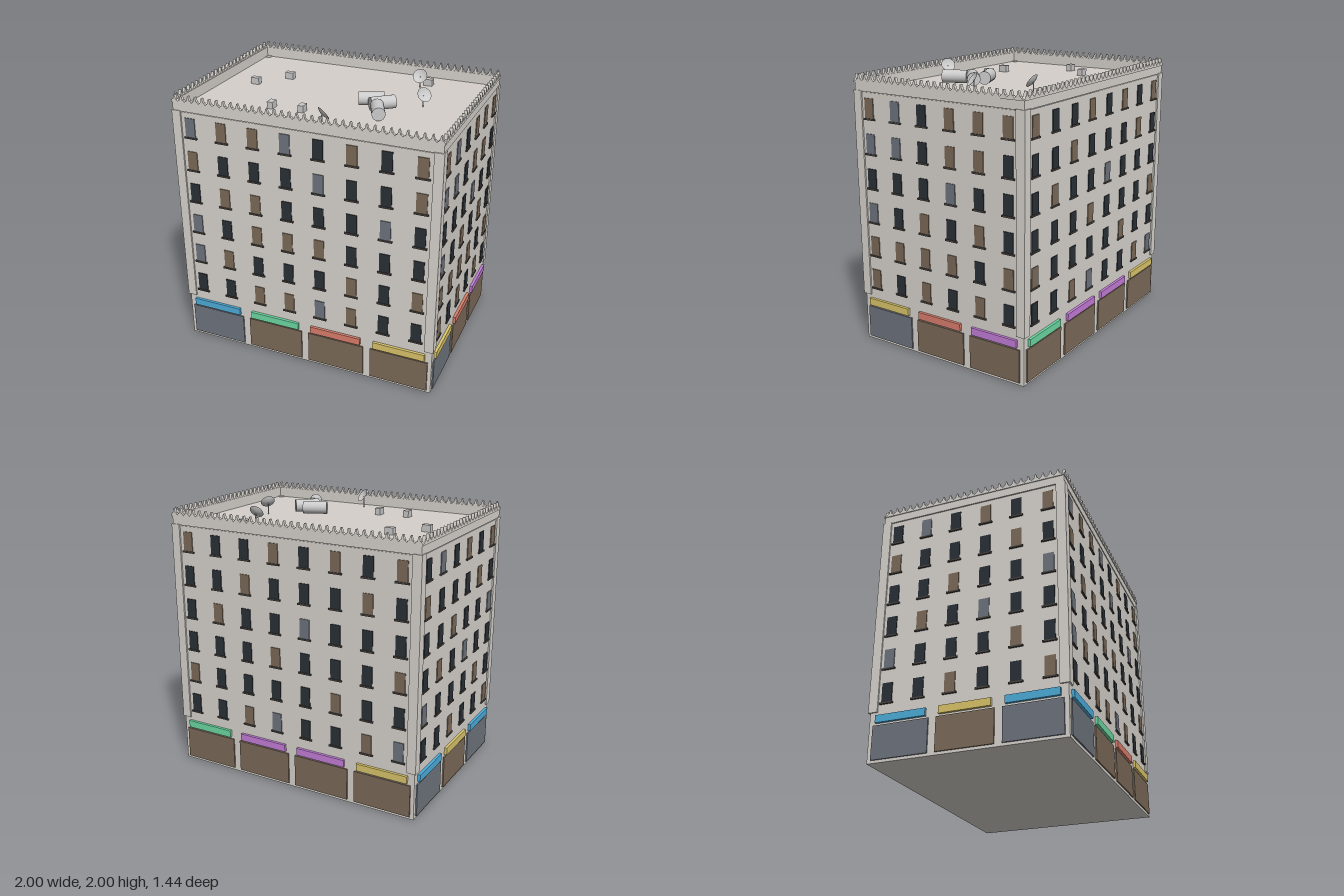
import * as THREE from 'three';

const mat = (color, extra = {}) => new THREE.MeshStandardMaterial({ color, ...extra });
const grey = mat(0xcccccc);
const wall = mat(0xdcd8d2), roofMat = mat(0xd5cfca), sillMat = mat(0x4a4541);
const panes = { D: mat(0x2b3138), B: mat(0x7d6c5a), G: mat(0x70757f) };
const signs = {
  blue: mat(0x4fb0df), green: mat(0x6edda6), red: mat(0xde806e), yellow: mat(0xdec86c), purple: mat(0xc77fdc),
};

const HX = 0.98, HZ = 0.70, ROOF = 1.865;

// Each side reads left to right as seen from outside, window rows from top to bottom
const SIDES = [
  { name: 'front', turn: 0, half: HX, depth: HZ, pitch: 0.2445, shopPitch: 0.49, shopW: 0.435, signW: 0.39,
    rows: ['GBBGDBDB', 'BDDDGDDB', 'DBBDDDGD', 'GDBBBDDD', 'GBDDDBDB', 'DDBBGBDD'],
    shops: 'GBBB', signs: ['blue', 'green', 'red', 'yellow'] },
  { name: 'right', turn: Math.PI / 2, half: HZ, depth: HX, pitch: 0.2328, shopPitch: 0.465, shopW: 0.41, signW: 0.37,
    rows: ['BGDBBB', 'GGDBBD', 'DDDGDD', 'GDBDBD', 'BBBBDB', 'BDBDBD'],
    shops: 'GBB', signs: ['yellow', 'red', 'purple'] },
  { name: 'back', turn: Math.PI, half: HX, depth: HZ, pitch: 0.2445, shopPitch: 0.49, shopW: 0.435, signW: 0.39,
    rows: ['BDDBDBDB', 'DDBDDDBD', 'DBDDGDDD', 'DDDBDDDB', 'BDDDDBDD', 'DDBGDDBG'],
    shops: 'BBBB', signs: ['green', 'purple', 'purple', 'yellow'] },
  { name: 'left', turn: -Math.PI / 2, half: HZ, depth: HX, pitch: 0.2328, shopPitch: 0.465, shopW: 0.41, signW: 0.37,
    rows: ['DGDBDB', 'BDDDBD', 'DDBDDG', 'DBDGDD', 'GDDDBD', 'DDBDDB'],
    shops: 'GBG', signs: ['blue', 'yellow', 'blue'] },
];

function add(parent, name, geometry, material, x = 0, y = 0, z = 0) {
  const mesh = new THREE.Mesh(geometry, material);
  mesh.name = name;
  mesh.position.set(x, y, z);
  parent.add(mesh);
  return mesh;
}
const box = (w, h, d) => new THREE.BoxGeometry(w, h, d);

// Strip of pointed teeth running along the top of a parapet
function toothStrip(length, thickness) {
  const n = Math.round(length / 0.055), p = length / n;
  const shape = new THREE.Shape();
  shape.moveTo(-length / 2, -0.012);
  for (let i = 0; i < n; i++) {
    const x = -length / 2 + i * p;
    [[0, 0], [0.2, 0.014], [0.3, 0.014], [0.44, 0.047], [0.56, 0.047], [0.7, 0.014], [0.8, 0.014]]
      .forEach(([u, y]) => shape.lineTo(x + u * p, y));
  }
  shape.lineTo(length / 2, 0);
  shape.lineTo(length / 2, -0.012);
  return new THREE.ExtrudeGeometry(shape, { depth: thickness, bevelEnabled: false });
}

function buildSide(s) {
  const side = new THREE.Group();
  side.name = s.name + 'Side';
  side.rotation.y = s.turn;
  const d = s.depth;

  // Windows with sills
  s.rows.forEach((row, r) => [...row].forEach((kind, c) => {
    const x = (c - (row.length - 1) / 2) * s.pitch;
    const y = 1.75 - r * 0.252;
    add(side, 'window', box(0.077, 0.142, 0.012), panes[kind], x, y, d);
    add(side, 'windowSill', box(0.1, 0.012, 0.024), sillMat, x, y - 0.077, d);
  }));

  // Shop fronts with sign boards
  [...s.shops].forEach((kind, i) => {
    const x = (i - (s.shops.length - 1) / 2) * s.shopPitch;
    add(side, 'shopFront', box(s.shopW, 0.24, 0.02), panes[kind], x, 0.14, d);
    add(side, 'shopSign', box(s.signW, 0.054, 0.03), signs[s.signs[i]], x, 0.302, d + 0.005);
  });

  // Parapet wall and toothed crest; the short sides fit between the long ones
  const long = s.half === HX;
  const t = 0.02;
  add(side, 'parapet', box(2 * (s.half + (long ? 0.004 : -0.016)), 0.075, t), wall, 0, ROOF + 0.0375, d + 0.004 - t / 2);
  add(side, 'parapetCrest', toothStrip(2 * (s.half + (long ? 0.01 : -0.012)), 0.022), wall, 0, 1.937, d - 0.012);
  return side;
}

function buildDish(x, z, nx, nz) {
  const dish = new THREE.Group();
  dish.name = 'satelliteDish';
  dish.position.set(x, ROOF, z);
  add(dish, 'mast', new THREE.CylinderGeometry(0.004, 0.004, 0.085, 8), grey, 0, 0.0425, 0);
  const profile = [];
  for (let i = 0; i <= 6; i++) {
    const r = 0.054 * i / 6;
    profile.push(new THREE.Vector2(r, 5.5 * r * r));
  }
  const bowl = add(dish, 'bowl', new THREE.LatheGeometry(profile, 24),
    mat(0xcccccc, { side: THREE.DoubleSide }), 0, 0.085, 0);
  bowl.quaternion.setFromUnitVectors(new THREE.Vector3(0, 1, 0), new THREE.Vector3(nx, 0.7, nz).normalize());
  return dish;
}

export function createModel() {
  const model = new THREE.Group();
  model.name = 'apartmentBlock';

  // Main block and roof deck
  add(model, 'walls', box(2 * HX, ROOF - 0.005, 2 * HZ), wall, 0, (ROOF - 0.005) / 2, 0);
  add(model, 'roofDeck', box(2 * HX - 0.01, 0.01, 2 * HZ - 0.01), roofMat, 0, ROOF - 0.005, 0);

  // Corner pilasters
  for (const sx of [-1, 1]) for (const sz of [-1, 1]) {
    add(model, 'cornerPilaster', box(0.068, 1.515, 0.068), wall, sx * 0.957, 1.1125, sz * 0.678);
  }

  SIDES.forEach((s) => model.add(buildSide(s)));

  // Roof vents: x, z, width, depth
  [[-0.535, -0.238, 0.065, 0.043], [-0.72, -0.03, 0.065, 0.043], [-0.374, 0.385, 0.043, 0.067],
    [-0.144, 0.37, 0.043, 0.065], [0.492, -0.503, 0.067, 0.045]]
    .forEach(([x, z, w, d]) => add(model, 'roofVent', box(w, 0.05, d), grey, x, ROOF + 0.025, z));

  // Lying roof tanks: x, z, axis direction
  [[0.262, 0.094, 31, -13], [0.364, 0.144, 30, -25], [0.385, 0.289, 13, 29]].forEach(([x, z, dx, dz]) => {
    const tank = add(model, 'roofTank', new THREE.CylinderGeometry(0.047, 0.047, 0.18, 24), grey, x, 1.925, z);
    tank.quaternion.setFromUnitVectors(new THREE.Vector3(0, 1, 0), new THREE.Vector3(dx, 0, dz).normalize());
  });

  // Satellite dishes: x, z, horizontal facing
  model.add(buildDish(0.45, -0.425, 0.05, 1), buildDish(0.6, -0.04, 0.75, 0.62), buildDish(0.1, 0.58, 0.62, -0.78));
  return model;
}
